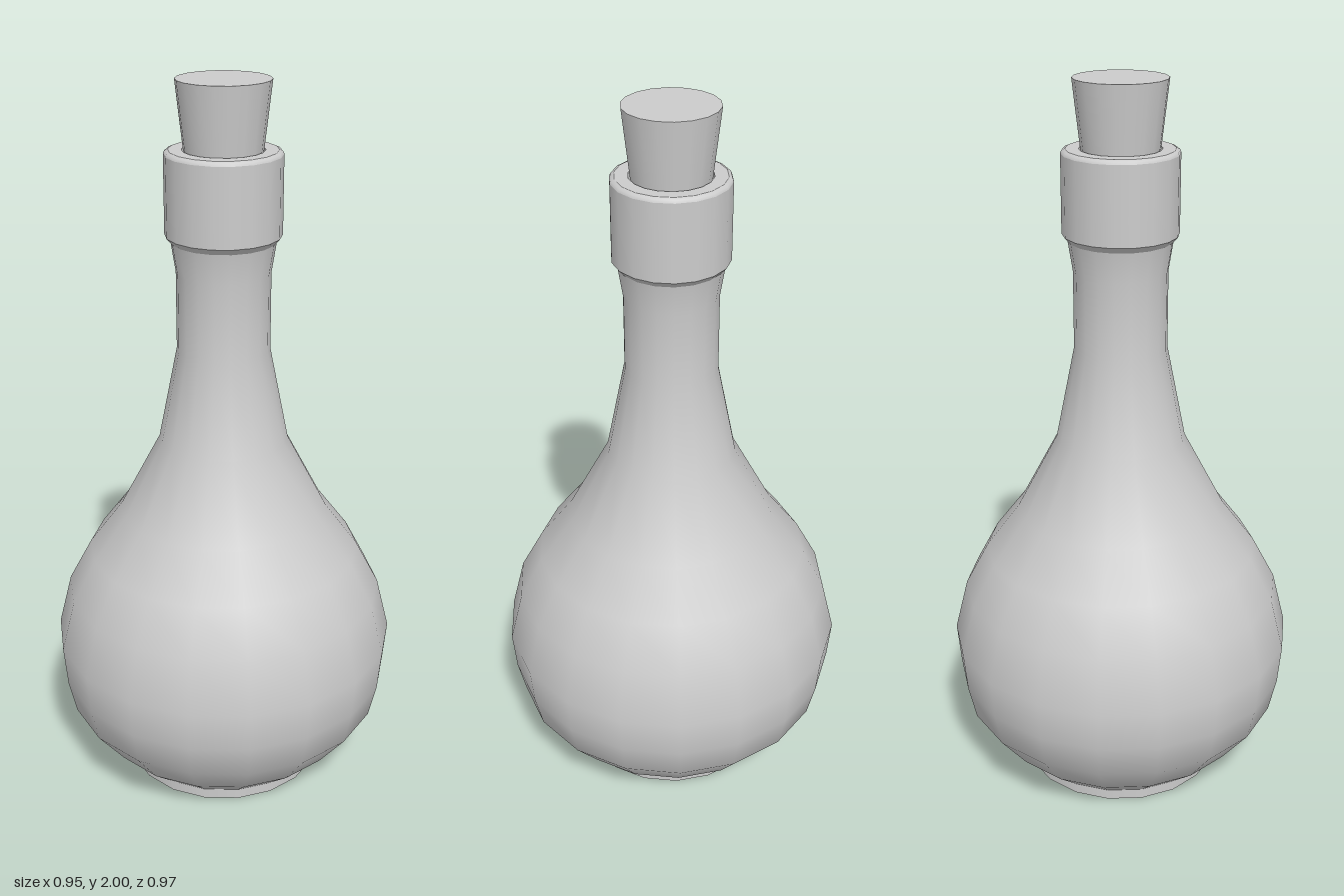
import * as THREE from 'three';

const SIDES = 18;

export function createModel() {
  const model = new THREE.Group();
  model.name = 'corkedFlask';
  const grey = new THREE.MeshStandardMaterial({ color: 0xcccccc });
  grey.name = 'plain grey';

  // Revolves each smooth run of [radius, height] pairs; edges between runs stay sharp
  function turned(name, runs) {
    const part = new THREE.Group();
    part.name = name;
    runs.forEach((run, i) => {
      const points = run.map(([r, y]) => new THREE.Vector2(r, y));
      const mesh = new THREE.Mesh(new THREE.LatheGeometry(points, SIDES), grey);
      mesh.name = name + 'Surface' + (i + 1);
      part.add(mesh);
    });
    model.add(part);
  }

  // Flat foot with a short upright band
  turned('foot', [
    [[0, 0], [0.283, 0]],
    [[0.283, 0], [0.283, 0.03]],
  ]);

  // Round belly flowing into the slender neck
  turned('bottleBody', [[
    [0.283, 0.03], [0.37, 0.106], [0.452, 0.212], [0.474, 0.31], [0.484, 0.424],
    [0.447, 0.572], [0.382, 0.694], [0.29, 0.816], [0.178, 1.028],
    [0.1265, 1.288], [0.1265, 1.5], [0.14, 1.585],
  ]]);

  // Thick lip with a bevelled rim and a hollow mouth
  turned('collar', [
    [[0.14, 1.585], [0.155, 1.602]],
    [[0.155, 1.602], [0.155, 1.812]],
    [[0.155, 1.812], [0.152, 1.819], [0.143, 1.823]],
    [[0.143, 1.823], [0.108, 1.823]],
    [[0.108, 1.823], [0.1, 1.75]],
  ]);

  // Tapered stopper pushed into the mouth
  turned('stopper', [
    [[0, 1.72], [0.092, 1.72]],
    [[0.092, 1.72], [0.124, 2]],
    [[0.124, 2], [0, 2]],
  ]);

  return model;
}
